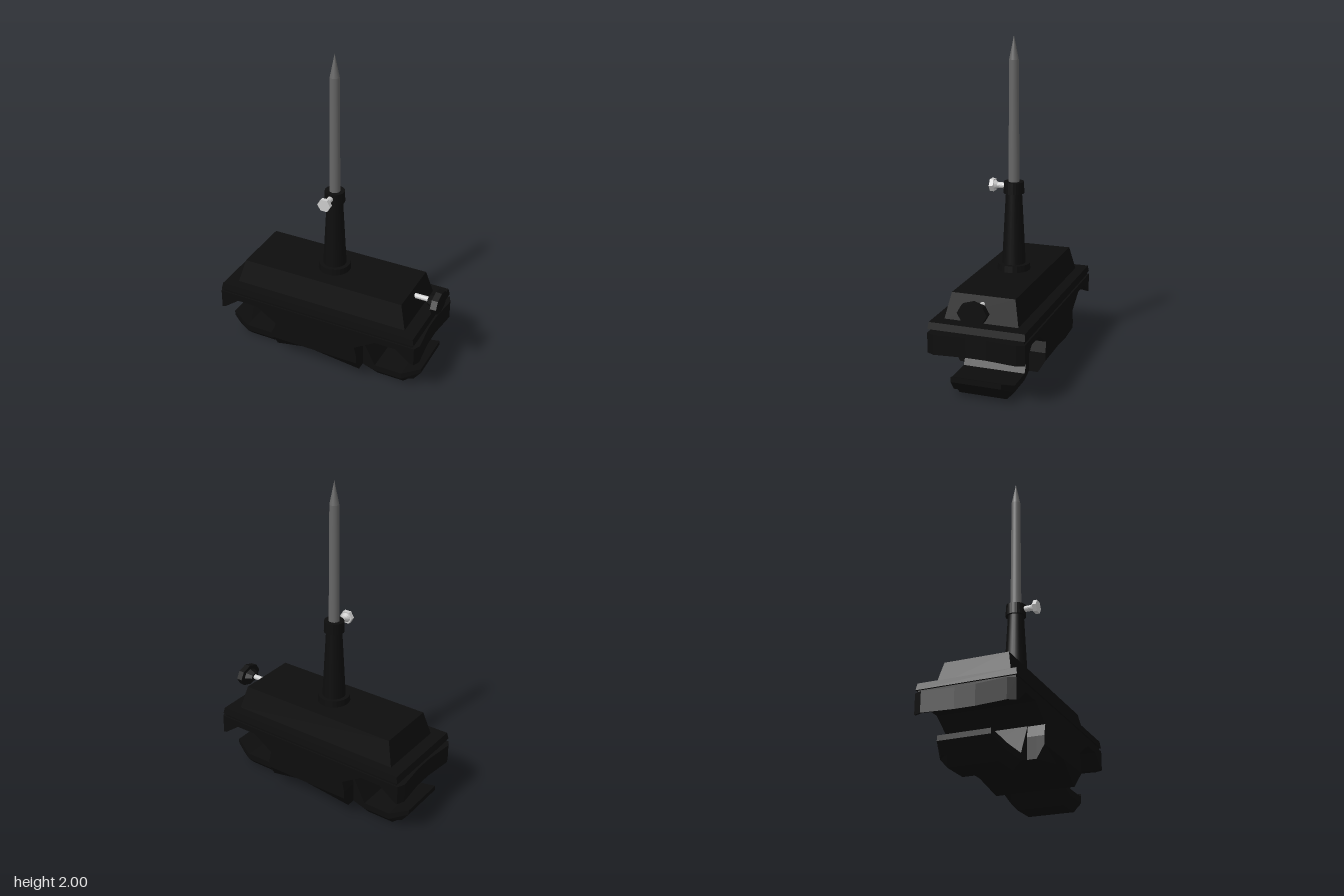
import * as THREE from 'three';

const black = new THREE.MeshStandardMaterial({ color: 0x0d0d0d, flatShading: true });
const blackSmooth = new THREE.MeshStandardMaterial({ color: 0x0d0d0d });
const steel = new THREE.MeshStandardMaterial({ color: 0x666666 });
const bright = new THREE.MeshStandardMaterial({ color: 0xcccccc, flatShading: true });

function add(parent, name, geometry, material) {
  const mesh = new THREE.Mesh(geometry, material);
  mesh.name = name;
  parent.add(mesh);
  return mesh;
}

// Runs an xy profile through the given z levels, then adjusts each vertex by a rule
function prism(points, levels, rule) {
  const shape = new THREE.Shape(points.map(([x, y]) => new THREE.Vector2(x, y)));
  const last = levels.length - 1;
  const geometry = new THREE.ExtrudeGeometry(shape, { depth: 1, steps: last, bevelEnabled: false });
  const pos = geometry.attributes.position;
  const v = new THREE.Vector3();
  for (let i = 0; i < pos.count; i++) {
    v.fromBufferAttribute(pos, i);
    v.z = levels[Math.round(v.z * last)];
    rule(v);
    pos.setXYZ(i, v.x, v.y, v.z);
  }
  geometry.computeVertexNormals();
  return geometry;
}

// Box whose top is smaller than its bottom; sizes are half widths
function taperBox(y0, y1, x0, z0, x1, z1) {
  const geometry = new THREE.BoxGeometry(2, y1 - y0, 2);
  const pos = geometry.attributes.position;
  for (let i = 0; i < pos.count; i++) {
    const top = pos.getY(i) > 0;
    pos.setX(i, pos.getX(i) * (top ? x1 : x0));
    pos.setZ(i, pos.getZ(i) * (top ? z1 : z0));
  }
  geometry.translate(0, (y0 + y1) / 2, 0);
  geometry.computeVertexNormals();
  return geometry;
}

// Upright cylinder or cone between two heights
function turned(y0, y1, r0, r1, sides = 24) {
  return new THREE.CylinderGeometry(r1, r0, y1 - y0, sides).translate(0, (y0 + y1) / 2, 0);
}

function createBase() {
  const base = new THREE.Group();
  base.name = 'base';

  // Body with an arch on each side and a shallow vee underneath
  const half = [
    [0.675, 0.39], [0.675, 0.27], [0.655, 0.275], [0.535, 0.35], [0.405, 0.35],
    [0.27, 0.265], [0.285, 0.2], [0.285, 0.075],
  ];
  const mirrored = half.map(([x, y]) => [-x, y]).reverse();
  const bodyLevels = [-0.29, -0.245, -0.06, 0.06, 0.245, 0.29];
  add(base, 'body', prism([...half, [0, 0.13], ...mirrored], bodyLevels, (v) => {
    const z = Math.abs(v.z);
    if (z > 0.27) v.y = Math.max(v.y, 0.15);
    if (Math.abs(v.x) > 0.6 && (z > 0.27 || z < 0.1)) v.x -= Math.sign(v.x) * 0.02;
  }), black);

  // Groove, rim and raised top
  add(base, 'groove', taperBox(0.385, 0.415, 0.64, 0.28, 0.64, 0.28), black);
  add(base, 'rim', taperBox(0.41, 0.45, 0.652, 0.29, 0.643, 0.285), black);
  add(base, 'raisedTop', taperBox(0.45, 0.6, 0.565, 0.222, 0.525, 0.19), black);

  // Hooked lower jaws, bevelled along their lower edges and narrower at the tip
  const jaw = [
    [0.2, 0.265], [0.275, 0.265], [0.365, 0.09], [0.54, 0.09], [0.655, 0.14],
    [0.655, 0.11], [0.61, 0.05], [0.54, 0], [0.365, 0], [0.285, 0.075], [0.2, 0.12],
  ];
  for (const side of [1, -1]) {
    const points = jaw.map(([x, y]) => [side * x, y]);
    add(base, side > 0 ? 'leftJaw' : 'rightJaw', prism(points, [-0.19, -0.145, 0.145, 0.19], (v) => {
      if (Math.abs(v.z) > 0.17) v.y = Math.max(v.y, 0.05);
      if (Math.abs(v.x) > 0.6) v.z *= 0.8;
    }), black);
  }
  return base;
}

function createPost() {
  const post = new THREE.Group();
  post.name = 'post';
  add(post, 'flange', turned(0.6, 0.64, 0.1, 0.097), black);
  add(post, 'sleeve', turned(0.63, 1.08, 0.072, 0.048), blackSmooth);
  add(post, 'collar', turned(1.07, 1.14, 0.062, 0.06), black);
  add(post, 'rod', turned(1.13, 1.86, 0.033, 0.028), steel);
  add(post, 'rodTip', turned(1.86, 2, 0.028, 0), steel);

  // Hex screw clamping the rod from the front
  const screw = new THREE.Group();
  screw.name = 'clampScrew';
  add(screw, 'screwShaft', turned(0.05, 0.12, 0.018, 0.018, 16), bright);
  add(screw, 'screwNeck', turned(0.1, 0.12, 0.018, 0.03, 16), bright);
  add(screw, 'screwHead', turned(0.12, 0.145, 0.042, 0.042, 6).rotateY(Math.PI / 6), bright);
  screw.rotation.x = Math.PI / 2;
  screw.position.y = 1.11;
  post.add(screw);
  return post;
}

function createSideKnob() {
  const knob = new THREE.Group();
  knob.name = 'sideKnob';
  add(knob, 'knobShaft', turned(0.5, 0.64, 0.016, 0.016, 16), bright);
  add(knob, 'knobNeck', turned(0.61, 0.655, 0.035, 0.06, 8).scale(0.75, 1, 1), black);
  add(knob, 'knobGrip', turned(0.65, 0.688, 0.09, 0.088, 8).scale(0.74, 1, 1), black);
  knob.rotation.z = -Math.PI / 2;
  knob.position.y = 0.55;
  return knob;
}

export function createModel() {
  const model = new THREE.Group();
  model.name = 'clampStand';
  const base = createBase();
  const post = createPost();
  base.position.x = post.position.x = -0.015;
  post.position.z = 0.004;
  model.add(base, post, createSideKnob());
  return model;
}
